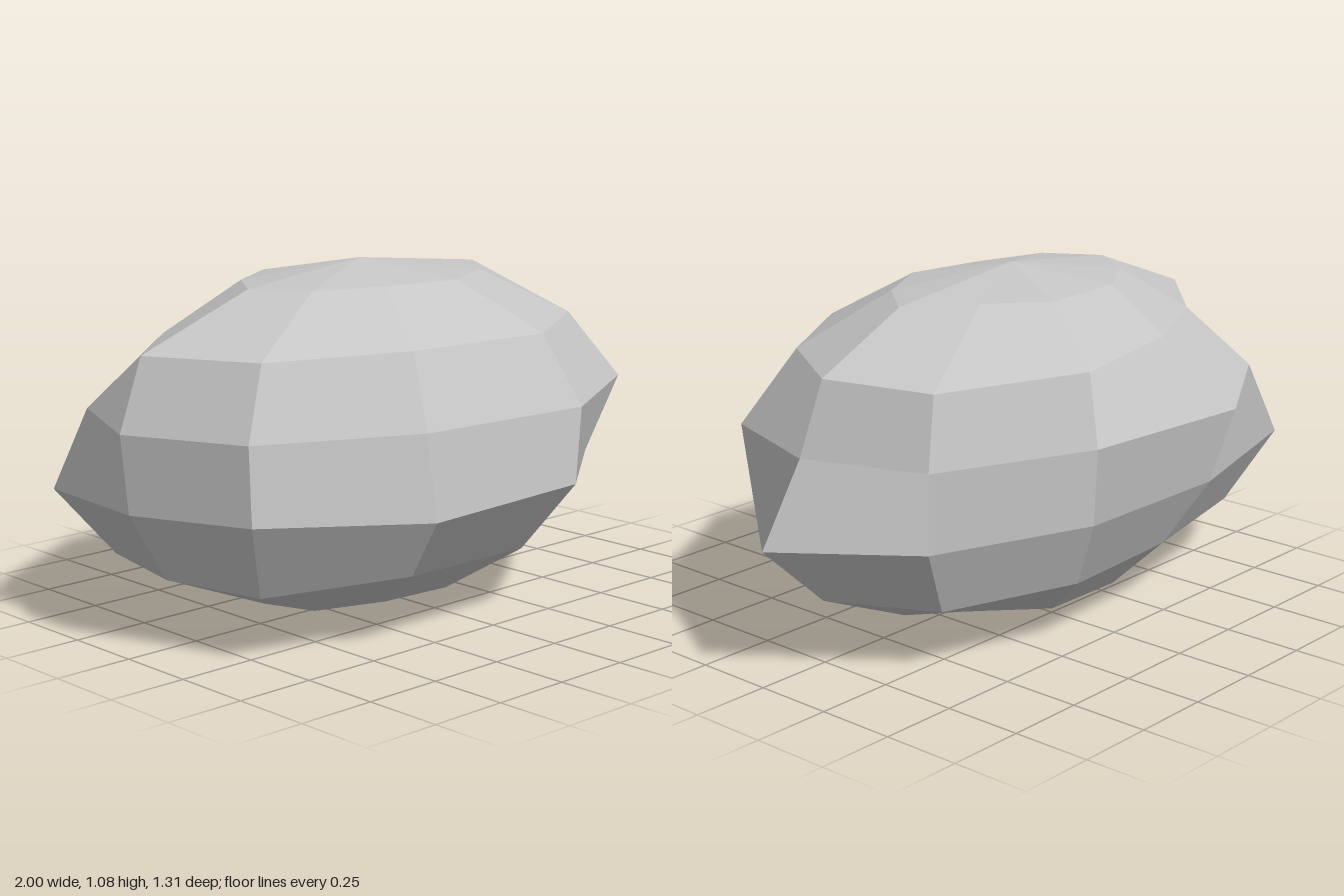
import * as THREE from 'three';

const COLUMNS = 10, RINGS = 7;
const HALF_HEIGHT = 0.54, DEPTH_RATIO = 0.66;
const CENTRE_X = -0.07, CENTRE_Z = -0.015;

// Horizontal reach of each ring, top to bottom; columns run from -x past the front (+z) to +x and round the back
const REACH = [
  [0.45, 0.43, 0.38, 0.454, 0.44, 0.5, 0.385, 0.465, 0.46, 0.42],
  [0.85, 0.84, 0.76, 0.843, 0.78, 0.82, 0.9, 0.84, 0.695, 0.69],
  [0.93, 0.945, 0.94, 1.02, 0.98, 0.915, 0.96, 0.93, 1.02, 0.955],
  [0.905, 0.927, 1.068, 1.0, 0.857, 1.07, 0.967, 0.9, 0.915, 1.075],
  [0.775, 0.87, 0.75, 0.76, 0.705, 0.835, 0.83, 0.75, 0.71, 0.87],
  [0.4, 0.42, 0.38, 0.41, 0.42, 0.49, 0.38, 0.48, 0.485, 0.48],
];

// Gives every four-sided facet one shared normal; the cap triangles keep their own
function facetNormals(geometry) {
  geometry.computeVertexNormals();
  const pos = geometry.attributes.position, normal = geometry.attributes.normal;
  const corners = [0, 1, 2].map(() => new THREE.Vector3());
  const triangle = new THREE.Triangle(...corners);
  const sum = new THREE.Vector3(), part = new THREE.Vector3();
  for (let start = COLUMNS * 3; start < pos.count - COLUMNS * 3; start += 6) {
    sum.set(0, 0, 0);
    for (const first of [start, start + 3]) {
      triangle.setFromAttributeAndIndices(pos, first, first + 1, first + 2);
      sum.addScaledVector(triangle.getNormal(part), triangle.getArea());
    }
    sum.normalize();
    for (let i = start; i < start + 6; i++) normal.setXYZ(i, sum.x, sum.y, sum.z);
  }
}

export function createModel() {
  const stone = new THREE.MeshStandardMaterial({ color: 0xc5c5c5 });
  stone.name = 'paleStoneGrey';

  // Faceted boulder: a coarse sphere whose ring points are pushed in or out
  const sphere = new THREE.SphereGeometry(1, COLUMNS, RINGS);
  const pos = sphere.attributes.position;
  for (let ring = 0; ring <= RINGS; ring++) {
    const y = HALF_HEIGHT * (1 + Math.cos((ring / RINGS) * Math.PI));
    for (let col = 0; col <= COLUMNS; col++) {
      const reach = REACH[ring - 1]?.[col % COLUMNS] ?? 0;
      const angle = (col / COLUMNS) * Math.PI * 2;
      pos.setXYZ(
        ring * (COLUMNS + 1) + col,
        CENTRE_X - Math.cos(angle) * reach,
        y,
        CENTRE_Z + Math.sin(angle) * reach * DEPTH_RATIO,
      );
    }
  }

  // Separate the faces so the facets stay crisp
  const geometry = sphere.toNonIndexed();
  facetNormals(geometry);

  const boulder = new THREE.Mesh(geometry, stone);
  boulder.name = 'boulder';

  const group = new THREE.Group();
  group.name = 'rock';
  group.add(boulder);
  return group;
}
